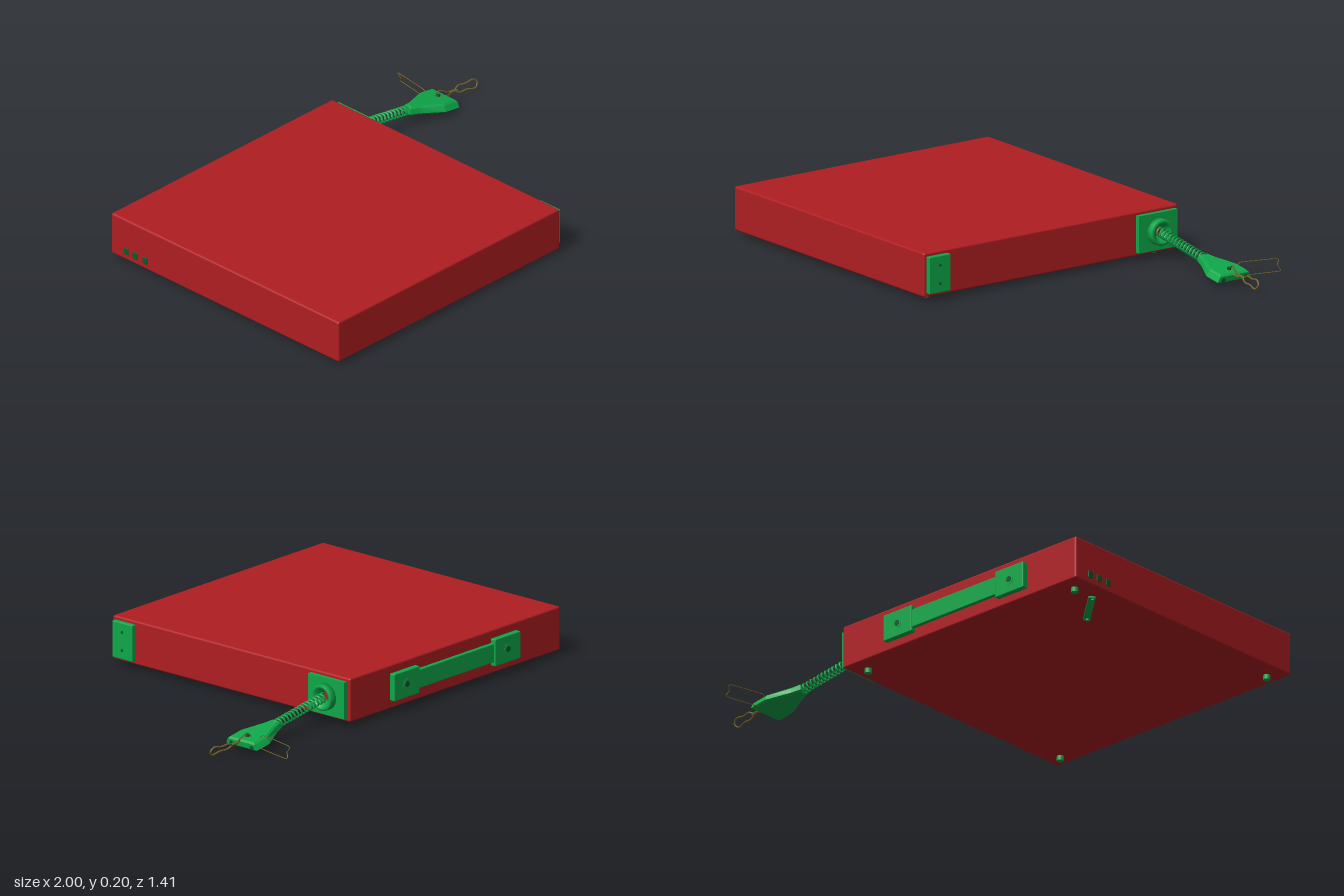
import * as THREE from 'three';
import { RoundedBoxGeometry } from 'three/addons/geometries/RoundedBoxGeometry.js';

const mat = (color) => new THREE.MeshStandardMaterial({ color });
const V = (x, y, z) => new THREE.Vector3(x, y, z);

export function createModel() {
  const model = new THREE.Group();
  const red = mat(0xb01e22), green = mat(0x0fa84a), wire = mat(0x75662a), dark = mat(0x0a5a2a);

  const add = (name, geometry, material, x = 0, y = 0, z = 0, parent = model) => {
    const mesh = new THREE.Mesh(geometry, material);
    mesh.name = name;
    mesh.position.set(x, y, z);
    parent.add(mesh);
    return mesh;
  };
  const box = (name, w, h, d, x, y, z, material = green, r = 0.004) =>
    add(name, new RoundedBoxGeometry(w, h, d, 2, r), material, x, y, z);
  const disc = (r, h) => new THREE.CylinderGeometry(r, r, h, 24);

  // Main case
  box('case', 1.283, 0.185, 1.278, -0.357, 0.1125, 0.063, red, 0.008);

  // Feet
  for (const x of [-0.925, 0.212]) for (const z of [-0.503, 0.638])
    add('foot', disc(0.015, 0.022), green, x, 0.011, z);

  // Folding strip underneath, with a stop at each end
  const strip = box('undersideStrip', 0.22, 0.009, 0.03, -0.84, 0.0165, -0.325, green, 0.002);
  strip.rotation.y = -0.72;
  for (const [x, z] of [[-0.915, -0.385], [-0.77, -0.26]])
    add('stripStop', disc(0.008, 0.014), green, x, 0.013, z);

  // Small sockets on the left end
  for (const z of [-0.49, -0.44, -0.385])
    box('socket', 0.008, 0.03, 0.025, -0.998, 0.06, z, dark, 0.002);

  // Carrying handle on the back
  box('handleBar', 0.50, 0.08, 0.018, -0.345, 0.112, -0.585);
  for (const x of [-0.652, -0.037]) {
    box('handleEnd', 0.155, 0.115, 0.026, x, 0.112, -0.587);
    for (const [r, h, m] of [[0.022, 0.003, green], [0.013, 0.005, dark]])
      add('handleScrew', disc(r, h), m, x, 0.112, -0.6).rotation.x = Math.PI / 2;
  }

  // Front corner plate with two screws
  box('cornerPlate', 0.026, 0.155, 0.108, 0.291, 0.1125, 0.634);
  for (const y of [0.073, 0.15])
    add('plateScrew', disc(0.006, 0.004), dark, 0.304, y, 0.634).rotation.z = Math.PI / 2;

  // Mounting plate with a round opening
  const plate = new THREE.Shape([
    new THREE.Vector2(-0.097, -0.078), new THREE.Vector2(0.097, -0.078),
    new THREE.Vector2(0.097, 0.078), new THREE.Vector2(-0.097, 0.078)]);
  plate.holes.push(new THREE.Path().absarc(0, 0, 0.025, 0, Math.PI * 2, true));
  const plateGeo = new THREE.ExtrudeGeometry(plate, { depth: 0.024, bevelEnabled: false, curveSegments: 24 });
  add('mountPlate', plateGeo, green, 0.28, 0.112, -0.463).rotation.y = Math.PI / 2;

  // Funnel collar
  const profile = [[0.025, 0], [0.055, 0], [0.055, 0.03], [0.05, 0.035], [0.04, 0.035], [0.025, 0.015], [0.025, 0]];
  const collar = new THREE.LatheGeometry(profile.map(([r, y]) => new THREE.Vector2(r, y)), 40);
  const collarMat = mat(0x0fa84a);
  collarMat.side = THREE.DoubleSide;
  add('collar', collar, collarMat, 0.3, 0.112, -0.463).rotation.z = -Math.PI / 2;

  // Drooping arm: spring and flared head share one tilted axis
  const arm = new THREE.Group();
  arm.name = 'arm';
  arm.position.set(0.3, 0.115, -0.463);
  arm.rotation.z = -0.155;
  model.add(arm);

  const turns = 15, coil = [];
  for (let i = 0; i <= turns * 14; i++) {
    const a = (i / 14) * Math.PI * 2;
    coil.push(V(0.015 + 0.305 * i / (turns * 14), 0.018 * Math.cos(a), 0.018 * Math.sin(a)));
  }
  add('spring', new THREE.TubeGeometry(new THREE.CatmullRomCurve3(coil), turns * 16, 0.0042, 6), green, 0, 0, 0, arm);

  // Flared head, narrower on top
  const outline = [[0.312, 0.018], [0.352, 0.03], [0.45, 0.075], [0.518, 0.075]];
  const head = new THREE.Shape([
    ...outline.map(([x, z]) => new THREE.Vector2(x, z)),
    ...outline.slice().reverse().map(([x, z]) => new THREE.Vector2(x, -z))]);
  const headGeo = new THREE.ExtrudeGeometry(head, {
    depth: 0.022, bevelThickness: 0.007, bevelSize: 0.008, bevelOffset: 0, bevelSegments: 1 });
  headGeo.translate(0, 0, -0.011).rotateX(-Math.PI / 2);
  const p = headGeo.attributes.position;
  for (let i = 0; i < p.count; i++)
    if (p.getY(i) > 0) p.setZ(i, p.getZ(i) * 0.86);
  headGeo.computeVertexNormals();
  add('head', headGeo, green, 0, 0, 0, arm);
  for (const z of [-0.055, 0.055])
    add('headBore', disc(0.009, 0.004), dark, 0.526, -0.004, z, arm).rotation.z = Math.PI / 2;
  add('headPin', disc(0.008, 0.012), dark, 0.485, 0.021, 0, arm);

  // Thin wire parts
  const wireTube = (name, points, r, closed = false, tension = 0.5) =>
    add(name, new THREE.TubeGeometry(
      new THREE.CatmullRomCurve3(points, closed, 'catmullrom', tension), 64, r, 6, closed), wire);

  wireTube('sideWire', [
    V(0.768, 0.055, -0.51), V(0.764, 0.072, -0.535), V(0.792, 0.068, -0.69), V(0.796, 0.062, -0.703),
    V(0.801, 0.044, -0.692), V(0.809, 0.024, -0.703), V(0.811, 0.019, -0.69), V(0.783, 0.022, -0.535),
    V(0.779, 0.035, -0.51)], 0.0018, false, 0.2);
  wireTube('linkRing', [
    V(0.775, 0.055, -0.475), V(0.795, 0.075, -0.47), V(0.83, 0.058, -0.463),
    V(0.852, 0.045, -0.463), V(0.83, 0.045, -0.455), V(0.79, 0.055, -0.455)], 0.003, true);
  wireTube('clipSwivel', [V(0.845, 0.046, -0.466), V(0.87, 0.046, -0.464), V(0.888, 0.042, -0.46)], 0.006);
  wireTube('clipLoop', [
    V(0.88, 0.042, -0.463), V(0.902, 0.056, -0.468), V(0.94, 0.053, -0.463), V(0.978, 0.058, -0.458),
    V(0.996, 0.04, -0.452), V(0.978, 0.022, -0.446), V(0.94, 0.03, -0.452), V(0.902, 0.03, -0.456)], 0.0035, true);

  return model;
}
